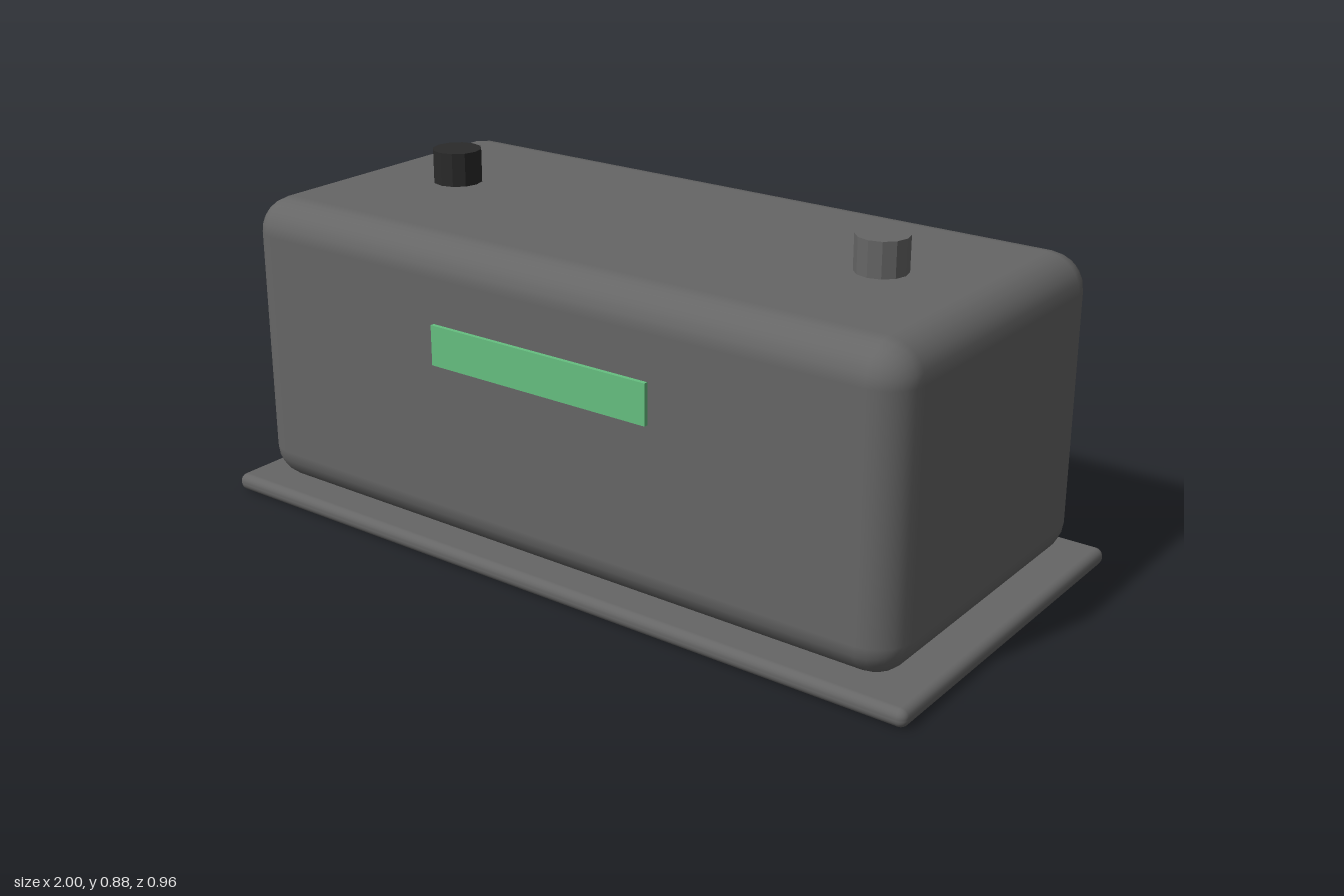
import * as THREE from 'three';
import { RoundedBoxGeometry } from 'three/addons/geometries/RoundedBoxGeometry.js';

export function createModel() {
  const group = new THREE.Group();
  const mat = (name, color, flatShading = false) =>
    new THREE.MeshStandardMaterial({ name, color, flatShading });
  const grey = mat('casing grey', 0x666666);
  const black = mat('terminal black', 0x2a2a2a);
  const green = mat('label green', 0x66bf80);

  const add = (name, geometry, material, x, y, z) => {
    const mesh = new THREE.Mesh(geometry, material);
    mesh.name = name;
    mesh.position.set(x, y, z);
    group.add(mesh);
  };

  // Thin base plate with softened edges
  add('basePlate', new RoundedBoxGeometry(2, 0.044, 0.96, 3, 0.02), grey, 0, 0.022, 0);

  // Rounded casing resting on the plate
  add('casing', new RoundedBoxGeometry(1.875, 0.75, 0.875, 3, 0.088), grey, 0, 0.418, 0);

  // Two faceted terminal posts, one dark and one casing coloured
  for (const [name, x, material] of [['rightTerminal', -0.625, black], ['leftTerminal', 0.625, grey]]) {
    const post = new THREE.CylinderGeometry(0.0625, 0.0625, 0.1, 12).toNonIndexed();
    post.computeVertexNormals();
    add(name, post, material, x, 0.828, 0);
  }

  // Raised label strip on the front
  add('label', new THREE.BoxGeometry(0.625, 0.1, 0.02), green, 0, 0.544, 0.438);

  return group;
}
